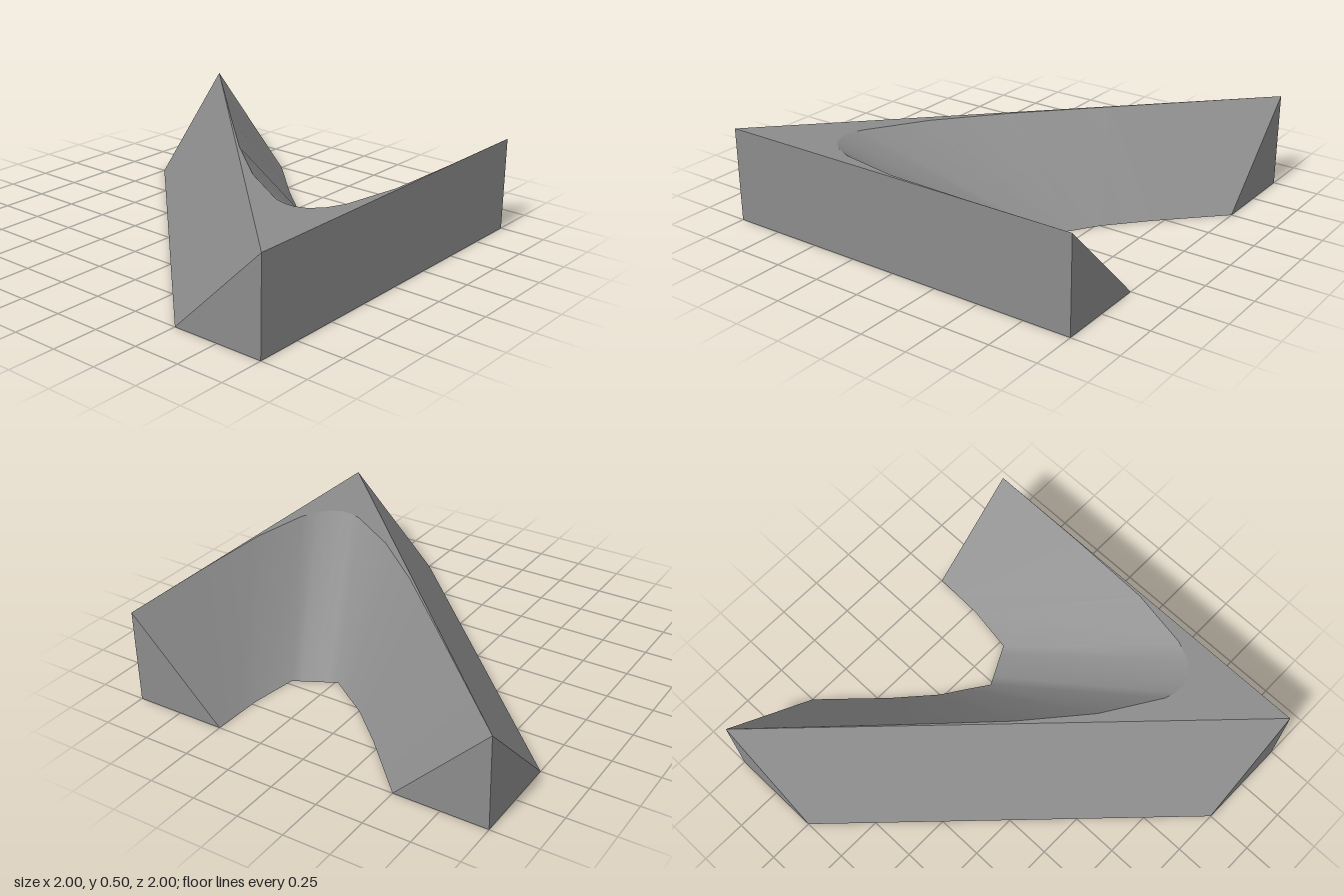
import * as THREE from 'three';

const H = 0.5; // height of the flat crest

// Each rib of the inner slope: foot x, foot z (y = 0), crest x, crest z (y = H)
const RIBS = [
  [-0.5, -1, -1, -1],
  [-0.2, -0.7, -0.34, -0.35],
  [0, -0.52, 0.03, 0.01],
  [0.12, -0.44, 0.35, 0.285],
  [0.235, -0.36, 0.65, 0.475],
  [0.28, -0.383, 0.71, 0.493],
  [0.325, -0.406, 0.77, 0.495],
  [0.365, -0.427, 0.83, 0.472],
  [0.405, -0.447, 0.885, 0.415],
  [0.45, -0.47, 0.93, 0.32],
  [0.49, -0.72, 0.985, 0],
  [0.496, -0.87, 0.997, -0.45],
  [0.5, -1, 1, -1],
];

function buffer(positions, index) {
  const g = new THREE.BufferGeometry();
  g.setAttribute('position', new THREE.Float32BufferAttribute(positions, 3));
  g.setIndex(index);
  g.computeVertexNormals();
  return g;
}

// Flat convex face, corners anticlockwise seen from outside
function face(corners) {
  const index = [];
  for (let i = 1; i < corners.length - 1; i++) index.push(0, i, i + 1);
  return buffer(corners.flat(), index);
}

// Horizontal plate from [x, z] outline, facing up or down
function plate(outline, y, up) {
  const s = up ? -1 : 1;
  const shape = new THREE.Shape(outline.map(([x, z]) => new THREE.Vector2(x, s * z)));
  return new THREE.ShapeGeometry(shape).rotateX(s * Math.PI / 2).translate(0, y, 0);
}

// Smooth ruled surface from foot to crest
function innerSlope() {
  const pos = [], index = [];
  RIBS.forEach(([fx, fz, cx, cz], i) => {
    pos.push(fx, 0, fz, cx, H, cz);
    if (i < RIBS.length - 1) {
      const a = i * 2;
      index.push(a, a + 1, a + 2, a + 1, a + 3, a + 2);
    }
  });
  return buffer(pos, index);
}

export function createModel() {
  const group = new THREE.Group();
  group.name = 'cornerEmbankment';
  const grey = new THREE.MeshStandardMaterial({ color: 0x8c8c8c });
  grey.name = 'grey';
  const add = (name, geometry) => {
    const mesh = new THREE.Mesh(geometry, grey);
    mesh.name = name;
    group.add(mesh);
  };

  // Outer faces
  add('outerSlope', face([[-1, H, -1], [-1, 0, -0.5], [0.5, 0, 1], [1, H, 1]]));
  add('sideWall', face([[1, 0, 1], [1, 0, -1], [1, H, -1], [1, H, 1]]));

  // Triangular ends
  add('frontEnd', face([[0.5, 0, 1], [1, 0, 1], [1, H, 1]]));
  add('backEndLeft', face([[1, 0, -1], [0.5, 0, -1], [1, H, -1]]));
  add('backEndRight', face([[-0.5, 0, -1], [-1, 0, -1], [-1, H, -1]]));
  add('sideEnd', face([[-1, 0, -1], [-1, 0, -0.5], [-1, H, -1]]));

  // Curved valley between the two arms
  add('innerSlope', innerSlope());

  // Flat crest at the corner, and the underside
  const crest = RIBS.map(([, , x, z]) => [x, z]);
  const foot = RIBS.map(([x, z]) => [x, z]);
  add('crest', plate([...crest, [1, 1]], H, true));
  add('underside', plate([...foot, [1, -1], [1, 1], [0.5, 1], [-1, -0.5], [-1, -1]], 0, false));

  return group;
}
